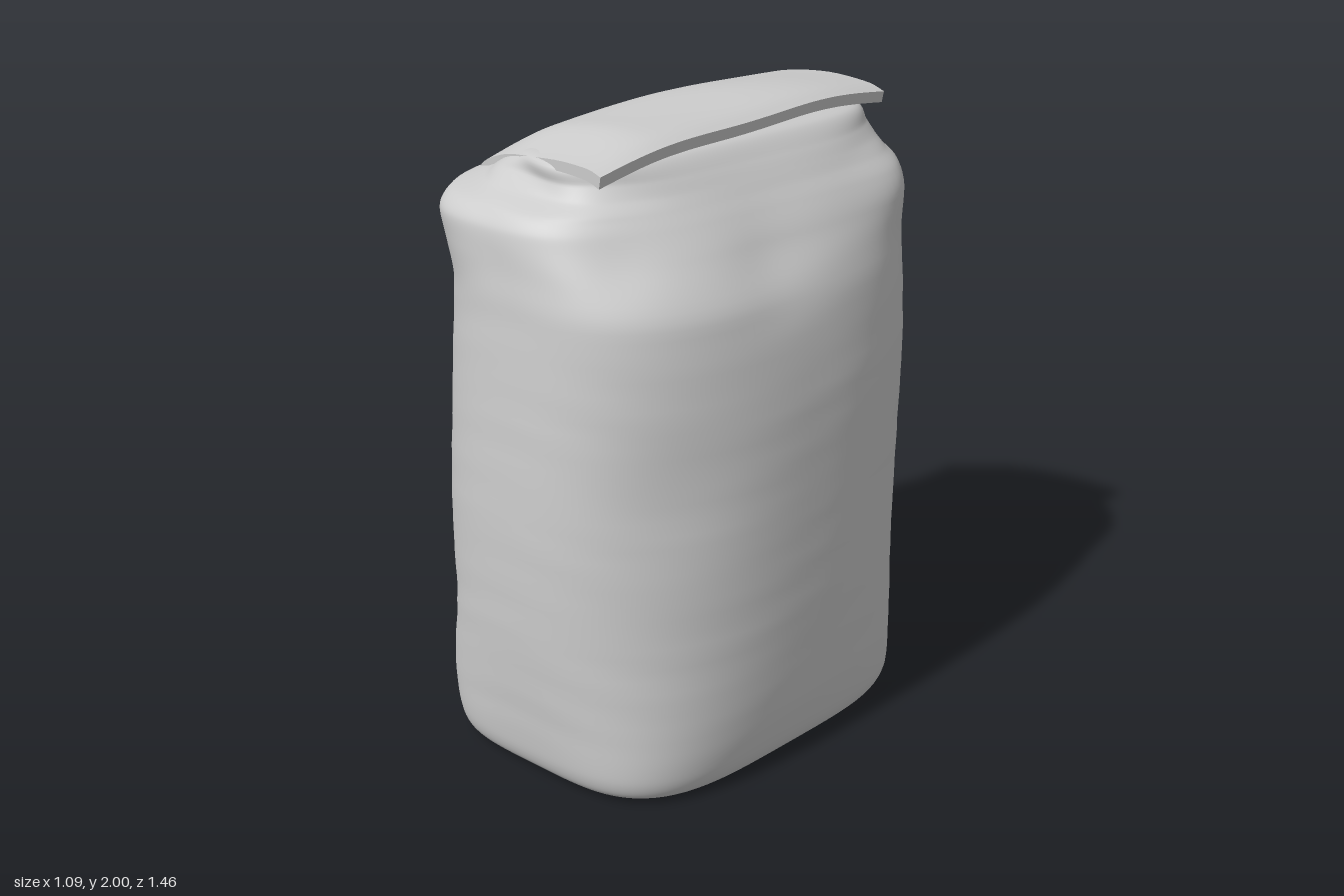
import * as THREE from 'three';
import { toCreasedNormals } from 'three/addons/utils/BufferGeometryUtils.js';

const paper = new THREE.MeshStandardMaterial({ color: 0xcccccc, side: THREE.DoubleSide });
const { lerp, smoothstep } = THREE.MathUtils;

// Skin a list of closed rings of points
function loft(rings) {
  const n = rings[0].length, index = [];
  for (let i = 0; i < rings.length - 1; i++) {
    for (let j = 0; j < n; j++) {
      const k = (j + 1) % n;
      const a = i * n + j, b = a + n, c = i * n + k, d = c + n;
      index.push(a, b, c, b, d, c);
    }
  }
  const g = new THREE.BufferGeometry();
  g.setAttribute('position', new THREE.Float32BufferAttribute(rings.flat(2), 3));
  g.setIndex(index);
  g.computeVertexNormals();
  return g;
}

function addMesh(group, name, geometry) {
  const m = new THREE.Mesh(geometry, paper);
  m.name = name;
  group.add(m);
}

// Soft dents (negative) and bulges (positive): x, y, z, radius, amount
const dents = [
  [0.42, 1.62, 0.1, 0.15, -0.05], [-0.5, 1.55, -0.3, 0.2, -0.04],
  [-0.48, 0.48, 0.5, 0.12, -0.05], [0.42, 1.74, -0.48, 0.13, 0.06],
  [0.4, 1.0, 0.5, 0.2, -0.02], [0.3, 1.72, 0.58, 0.12, -0.04],
  [-0.1, 1.84, 0.53, 0.09, 0.05], [0.1, 1.84, -0.6, 0.09, 0.04],
];
const dent = (x, y, z) => dents.reduce((t, [cx, cy, cz, r, amount]) =>
  t + amount * Math.exp(-((x - cx) ** 2 + (y - cy) ** 2 + (z - cz) ** 2) / (r * r)), 0);

// Filled bag: y, left x, right x, front z, back z, squareness
const levels = [
  [0.0, -0.40, 0.42, 0.58, -0.50, 3.8],
  [0.02, -0.46, 0.48, 0.66, -0.57, 3.8],
  [0.08, -0.49, 0.51, 0.69, -0.605, 3.6],
  [0.22, -0.525, 0.53, 0.705, -0.62, 3.2],
  [0.50, -0.535, 0.54, 0.725, -0.655, 2.7],
  [0.85, -0.54, 0.54, 0.73, -0.685, 2.55],
  [1.20, -0.535, 0.53, 0.715, -0.715, 2.5],
  [1.50, -0.515, 0.49, 0.695, -0.725, 2.55],
  [1.66, -0.49, 0.41, 0.68, -0.73, 2.7],
  [1.74, -0.47, 0.355, 0.67, -0.71, 2.8],
  [1.785, -0.44, 0.32, 0.63, -0.665, 2.9],
  [1.82, -0.38, 0.295, 0.55, -0.615, 3.1],
  [1.86, -0.30, 0.265, 0.51, -0.585, 3.4],
  [1.915, -0.17, 0.215, 0.49, -0.56, 3.8],
  [1.94, -0.05, 0.12, 0.30, -0.35, 3.0],
];

function bodyGeometry() {
  const curve = pick => new THREE.CatmullRomCurve3(
    levels.map(l => new THREE.Vector3(...pick(l))), false, 'catmullrom', 0.4);
  const xs = curve(l => [l[1], l[0], l[2]]), zs = curve(l => [l[3], l[5], l[4]]);
  const rows = 112, segs = 128, rings = [];
  for (let i = 0; i <= rows; i++) {
    const p = xs.getPoint(i / rows), q = zs.getPoint(i / rows), ring = [];
    const y = Math.max(0, p.y);
    const skew = 0.06 + 0.11 * smoothstep(y, 1.5, 1.78);
    const wrinkle = smoothstep(y, 0.05, 0.3);
    for (let j = 0; j < segs; j++) {
      const a = j / segs * Math.PI * 2, c = Math.cos(a), s = Math.sin(a);
      const r = (Math.abs(c) ** q.y + Math.abs(s) ** q.y) ** (-1 / q.y);
      const x = (p.x + p.z) / 2 + r * c * (p.z - p.x) / 2;
      const z = (q.x + q.z) / 2 + r * s * (q.x - q.z) / 2;
      // faint creases, then pleats gathered at the two ends of the shoulder
      const crease = 0.0015 * Math.sin(43 * y + 2 * Math.sin(3 * a)) * Math.sin(7 * y + 2 * a)
        + 0.003 * Math.sin(5 * a + 2 * y);
      const pleat = 0.022 * smoothstep(y, 1.77, 1.83) * smoothstep(Math.abs(z), 0.3, 0.5)
        * Math.sin(22 * x + 30 * y);
      const w = 1 + wrinkle * crease + pleat + dent(x - skew * z, y, z);
      ring.push([x * w - skew * z, y, z * w]);
    }
    rings.push(ring);
  }
  const centre = y => Array.from({ length: segs }, () => [0.03, y, 0]);
  return loft([centre(0), ...rings, centre(1.945)]);
}

// Rolled-over top: a thin sheet bent over the ridge, open edge on the model's left
function flapGeometry() {
  const top = new THREE.SplineCurve(
    [[0, 1.76], [0.12, 1.855], [0.25, 1.92], [0.42, 1.972], [0.68, 2.0], [0.9, 1.992], [1, 1.97]]
      .map(p => new THREE.Vector2(...p))).getPoints(28);
  const under = top.map(p => new THREE.Vector2(p.x * 0.99, p.y - 0.02 - 0.015 * p.x)).reverse();
  const section = [...top, ...under], steps = 44, rings = [];
  for (let i = 0; i <= steps; i++) {
    const v = i / steps;
    rings.push(section.map(({ x: u, y }) => {
      const z = lerp(-0.53 - 0.08 * u, 0.37 + 0.18 * Math.sqrt(u), v);
      const x = lerp(-0.435 - 0.13 * z, 0.225 - 0.085 * z, u);
      const ripple = 0.006 * Math.sin(9 * z + 5 * u) * u;
      // the front end sags toward the shoulder in the middle of the sheet
      const sag = 0.05 * smoothstep(z, 0.3, 0.55) * Math.sin(Math.PI * u);
      return [x, y - 0.1 * (z + 0.1) ** 2 + ripple - sag, z];
    }));
  }
  // thin ends close along the mid line of the sheet
  const cap = ring => ring.map((p, j) =>
    p.map((value, k) => (value + ring[ring.length - 1 - j][k]) / 2));
  return toCreasedNormals(loft([cap(rings[0]), ...rings, cap(rings[steps])]), 0.8);
}

export function createModel() {
  const bag = new THREE.Group();
  bag.name = 'paperBag';
  addMesh(bag, 'filledBody', bodyGeometry());
  addMesh(bag, 'foldedTop', flapGeometry());
  return bag;
}
